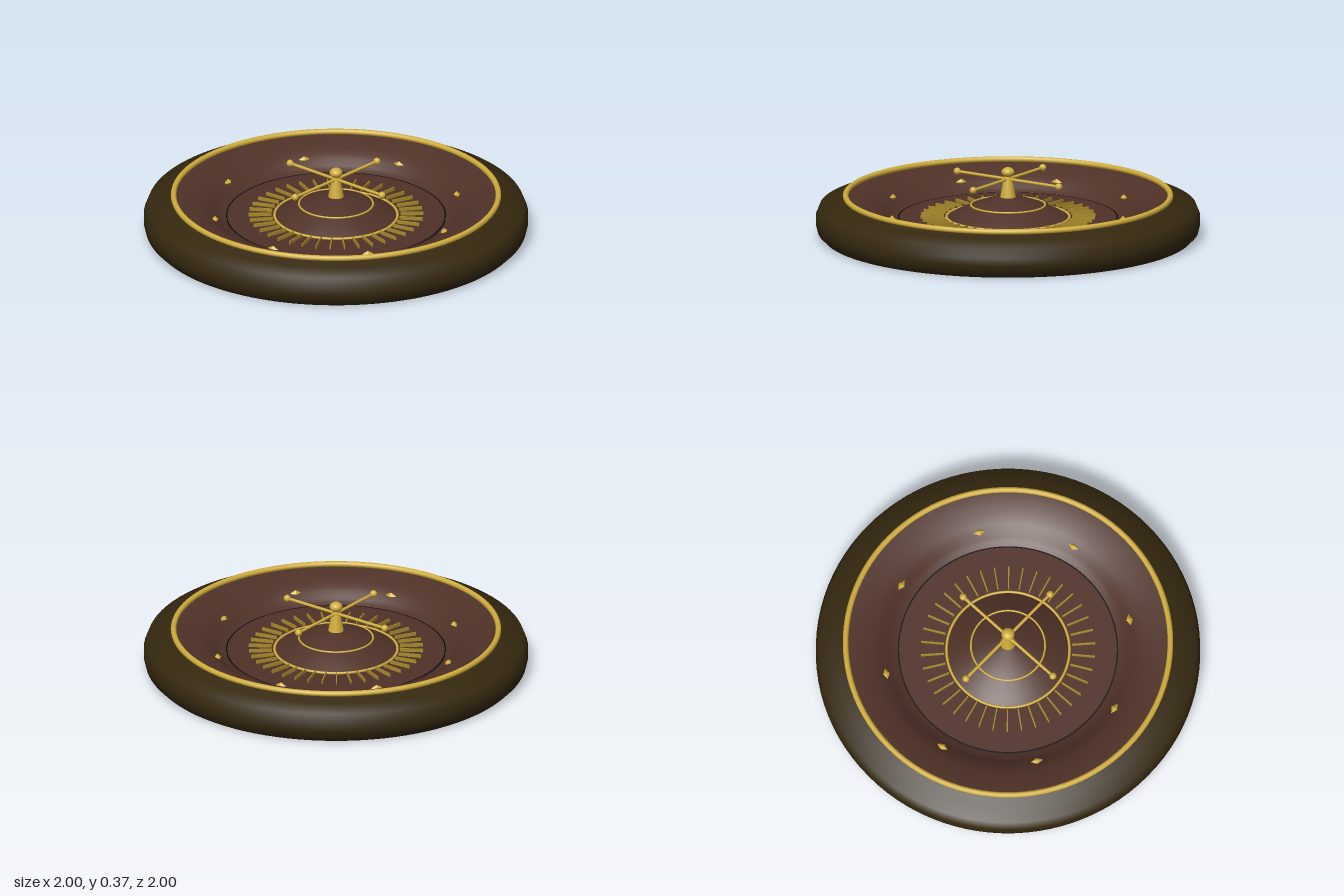
import * as THREE from 'three';

const brown = new THREE.MeshStandardMaterial({ color: 0x503228, side: THREE.DoubleSide });
brown.name = 'mahogany';
const darkWood = new THREE.MeshStandardMaterial({ color: 0x35280f });
darkWood.name = 'dark wood';
const gold = new THREE.MeshStandardMaterial({ color: 0xd0ad3c });
gold.name = 'gold';
const oldGold = new THREE.MeshStandardMaterial({ color: 0xa88a2a });
oldGold.name = 'old gold';
const black = new THREE.MeshStandardMaterial({ color: 0x0a0808 });
black.name = 'black';

export function createModel() {
  const model = new THREE.Group();
  model.name = 'rouletteWheel';

  const add = (name, geometry, material, x = 0, y = 0, z = 0) => {
    const mesh = new THREE.Mesh(geometry, material);
    mesh.name = name;
    mesh.position.set(x, y, z);
    model.add(mesh);
    return mesh;
  };
  const lathe = (name, points, material) =>
    add(name, new THREE.LatheGeometry(points.map(p => new THREE.Vector2(...p)), 96), material);
  const ring = (name, radius, tube, y) =>
    add(name, new THREE.TorusGeometry(radius, tube, 10, 96).rotateX(Math.PI / 2), gold, 0, y, 0);

  // Outer rim, its inner wall and the sloping bowl
  lathe('outerRim', [[0.86, 0], [0.96, 0], [0.99, 0.03], [1, 0.07], [1, 0.11], [0.98, 0.16],
    [0.9, 0.185], [0.86, 0.205], [0.84, 0.208]], darkWood);
  lathe('innerWall', [[0.859, 0.2], [0.859, 0]], brown);
  lathe('bowl', [[0.859, 0.204], [0.835, 0.203], [0.78, 0.193], [0.72, 0.177], [0.68, 0.16],
    [0.65, 0.142], [0.62, 0.118], [0.6, 0.104], [0.572, 0.092]], brown);
  ring('rimTrim', 0.845, 0.015, 0.216);

  // Rotor: underside, side, flat top with dark seam, central dome
  add('rotorBase', new THREE.CylinderGeometry(0.57, 0.57, 0.008, 96), black, 0, 0.014, 0);
  lathe('rotorSide', [[0.57, 0.018], [0.57, 0.1]], brown);
  lathe('rotorTop', [[0.57, 0.1], [0.31, 0.1]], brown);
  lathe('rotorSeam', [[0.573, 0.102], [0.566, 0.102]], black);
  lathe('rotorDome', [[0.32, 0.1], [0.27, 0.129], [0.19, 0.167], [0.1, 0.199], [0, 0.218]], brown);
  ring('outerRing', 0.32, 0.007, 0.104);
  ring('innerRing', 0.193, 0.005, 0.168);

  // Frets between the pockets
  const fretCount = 38;
  const fretGeometry = new THREE.BoxGeometry(0.12, 0.02, 0.006);
  for (let i = 0; i < fretCount; i++) {
    const a = (i / fretCount) * Math.PI * 2;
    add('fret', fretGeometry, oldGold, Math.cos(a) * 0.395, 0.108, Math.sin(a) * 0.395).rotation.y = -a;
  }

  // Diamond deflectors on the bowl
  const diamond = new THREE.OctahedronGeometry(1).scale(0.018, 0.018, 0.031).toNonIndexed();
  diamond.computeVertexNormals();
  for (let i = 0; i < 8; i++) {
    const a = -0.2 + (i * Math.PI) / 4;
    add('deflector', diamond, gold, Math.cos(a) * 0.65, 0.15, Math.sin(a) * 0.65).rotation.y = -a;
  }

  // Hub and finial
  add('hub', new THREE.CylinderGeometry(0.018, 0.042, 0.125, 32), gold, 0, 0.2675, 0);
  add('finial', new THREE.SphereGeometry(0.034, 24, 16).scale(1, 0.76, 1), gold, 0, 0.342, 0);

  // Cross handle with ball ends
  const rod = new THREE.CylinderGeometry(0.008, 0.008, 0.64, 12);
  add('handleRodX', rod, gold, 0, 0.305, 0).rotation.z = Math.PI / 2;
  add('handleRodZ', rod, gold, 0, 0.305, 0).rotation.x = Math.PI / 2;
  for (const [x, z] of [[1, 0], [-1, 0], [0, 1], [0, -1]]) {
    add('handleBall', new THREE.SphereGeometry(0.019, 16, 12), gold, x * 0.32, 0.305, z * 0.32);
  }

  return model;
}
